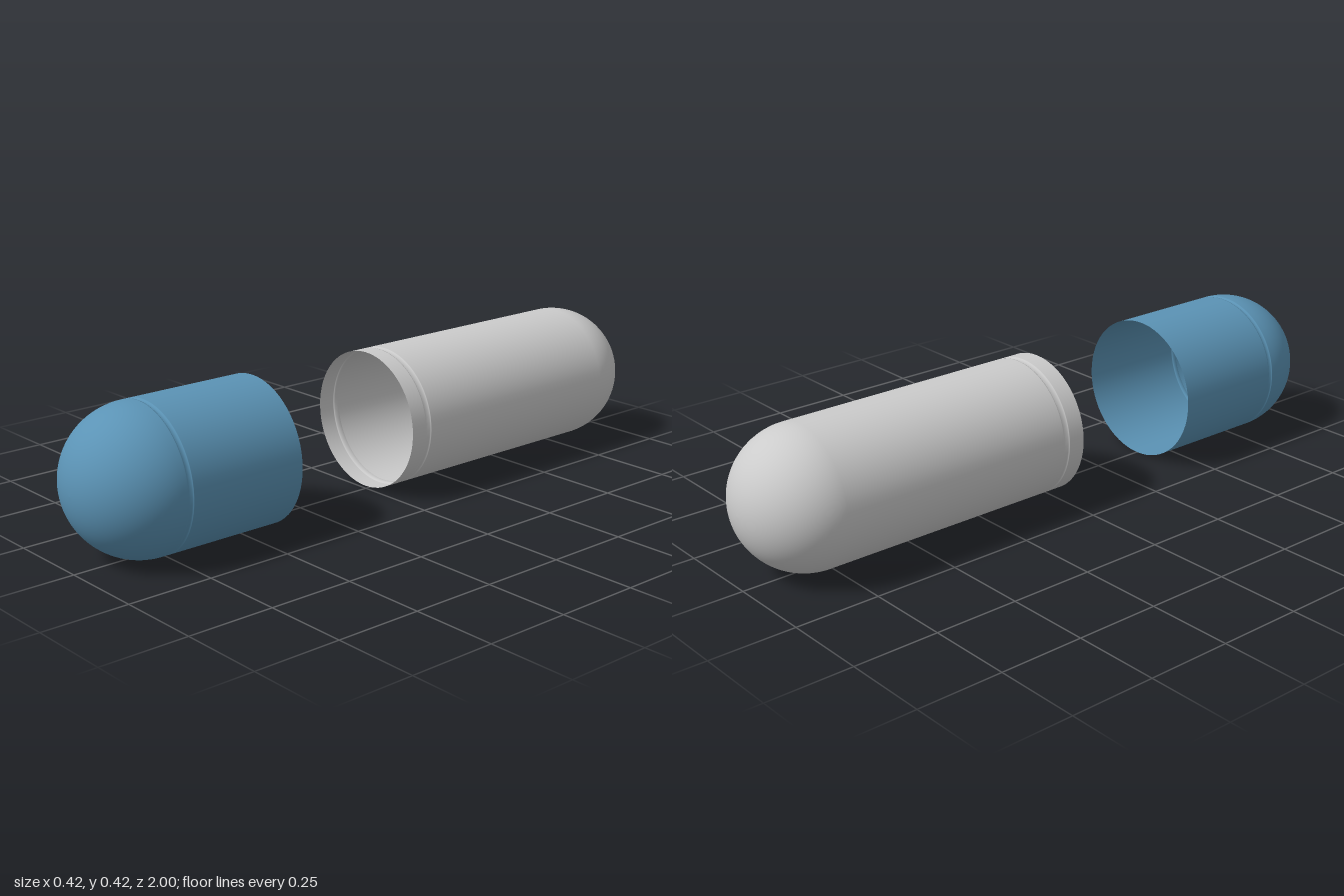
import * as THREE from 'three';

const AXIS_Y = 0.212;
const GROOVE_DEPTH = 0.004;

// Quarter-circle dome profile, from the rim (z = 0) to the pole (z = r)
function domeProfile(r, steps = 24) {
  return Array.from({ length: steps + 1 }, (_, i) => {
    const a = (i / steps) * Math.PI / 2;
    return [i === steps ? 0 : r * Math.cos(a), r * Math.sin(a)];
  });
}

// Shallow locking groove between two positions along the axis
function grooveProfile(r, from, to) {
  const d = r - GROOVE_DEPTH, e = 0.002;
  return [[r, from - e], [r, from], [d, from + e], [d, to - e], [r, to], [r, to + e]];
}

// Thin open shell turned around the z axis
function shell(name, profile, color) {
  const points = profile.map(([r, z]) => new THREE.Vector2(r, z));
  const geometry = new THREE.LatheGeometry(points, 64);
  geometry.rotateX(Math.PI / 2);
  const material = new THREE.MeshStandardMaterial({ color, side: THREE.DoubleSide });
  const mesh = new THREE.Mesh(geometry, material);
  mesh.name = name;
  mesh.position.y = AXIS_Y;
  return mesh;
}

export function createModel() {
  const group = new THREE.Group();
  group.name = 'openCapsule';

  // Short, slightly wider cap at the front
  const capR = 0.212, capRim = 1 - capR;
  group.add(shell('cap', [
    [capR, 0.413],
    ...grooveProfile(capR, 0.768, 0.782),
    ...domeProfile(capR).map(([r, z]) => [r, capRim + z]),
  ], 0x5b93b5));

  // Long body at the back, its open end facing the cap
  const bodyR = 0.203, bodyRim = -1 + bodyR;
  group.add(shell('body', [
    ...domeProfile(bodyR).reverse().map(([r, z]) => [r, bodyRim - z]),
    ...grooveProfile(bodyR, -0.068, -0.05),
    [bodyR, 0.003],
  ], 0xcccccc));

  return group;
}
